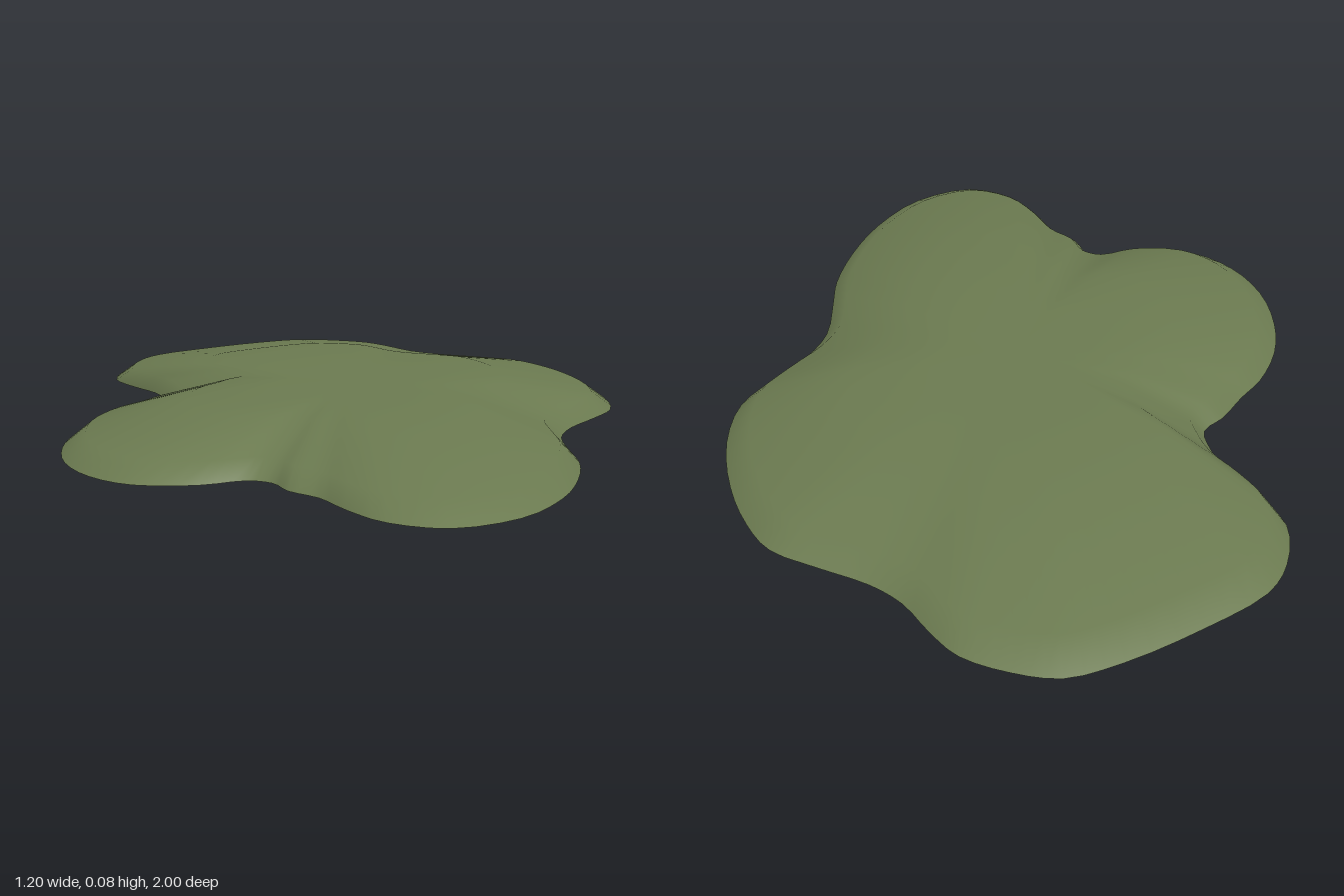
import * as THREE from 'three';

// Outline on the ground as x, z pairs, from the back round by +x
const OUTLINE = [
  -0.04, -1, 0.05, -0.98, 0.14, -0.93, 0.19, -0.86, 0.24, -0.77, 0.3, -0.71, 0.4, -0.65, 0.49, -0.59,
  0.54, -0.5, 0.58, -0.37, 0.6, -0.2, 0.58, -0.05, 0.52, 0.05, 0.45, 0.15, 0.41, 0.25, 0.4, 0.4,
  0.395, 0.5, 0.36, 0.65, 0.3, 0.8, 0.2, 0.94, 0.07, 1, -0.03, 0.95, -0.09, 0.85, -0.13, 0.75,
  -0.18, 0.69, -0.205, 0.62, -0.25, 0.595, -0.34, 0.625, -0.46, 0.61, -0.54, 0.53, -0.59, 0.4, -0.6, 0.25,
  -0.58, 0.12, -0.53, 0, -0.48, -0.07, -0.43, -0.15, -0.385, -0.2, -0.39, -0.28, -0.41, -0.36, -0.46, -0.45,
  -0.5, -0.55, -0.48, -0.68, -0.43, -0.77, -0.3, -0.87, -0.15, -0.96,
];

// Rings from the rim inwards: [outline scale, height]
const RINGS = [[1, 0], [0.92, 0.035], [0.58, 0.077], [0.3, 0.081]];
const TOP = 0.081;
const SEGMENTS = 135;

// Open shell: sloping bands closed by a top cap, hollow underneath
function moundGeometry() {
  const points = [];
  for (let i = 0; i < OUTLINE.length; i += 2) points.push(new THREE.Vector3(OUTLINE[i], 0, OUTLINE[i + 1]));
  const rim = new THREE.CatmullRomCurve3(points, true).getPoints(SEGMENTS).slice(0, SEGMENTS);

  const positions = [];
  for (const [scale, y] of RINGS) {
    for (const p of rim) positions.push(p.x * scale, y, p.z * scale);
  }
  const centre = positions.length / 3;
  positions.push(0, TOP, 0);

  const index = [];
  const last = (RINGS.length - 1) * SEGMENTS;
  for (let i = 0; i < SEGMENTS; i++) {
    const j = (i + 1) % SEGMENTS;
    for (let a = 0; a < last; a += SEGMENTS) {
      const b = a + SEGMENTS;
      index.push(a + i, b + i, a + j, b + i, b + j, a + j);
    }
    index.push(centre, last + j, last + i);
  }

  const geometry = new THREE.BufferGeometry();
  geometry.setAttribute('position', new THREE.Float32BufferAttribute(positions, 3));
  geometry.setIndex(index);
  geometry.computeVertexNormals();
  return geometry;
}

export function createModel() {
  const group = new THREE.Group();
  group.name = 'groundPatch';
  const material = new THREE.MeshStandardMaterial({ color: 0x6b7a50, side: THREE.DoubleSide });
  const mound = new THREE.Mesh(moundGeometry(), material);
  mound.name = 'mound';
  group.add(mound);
  return group;
}
